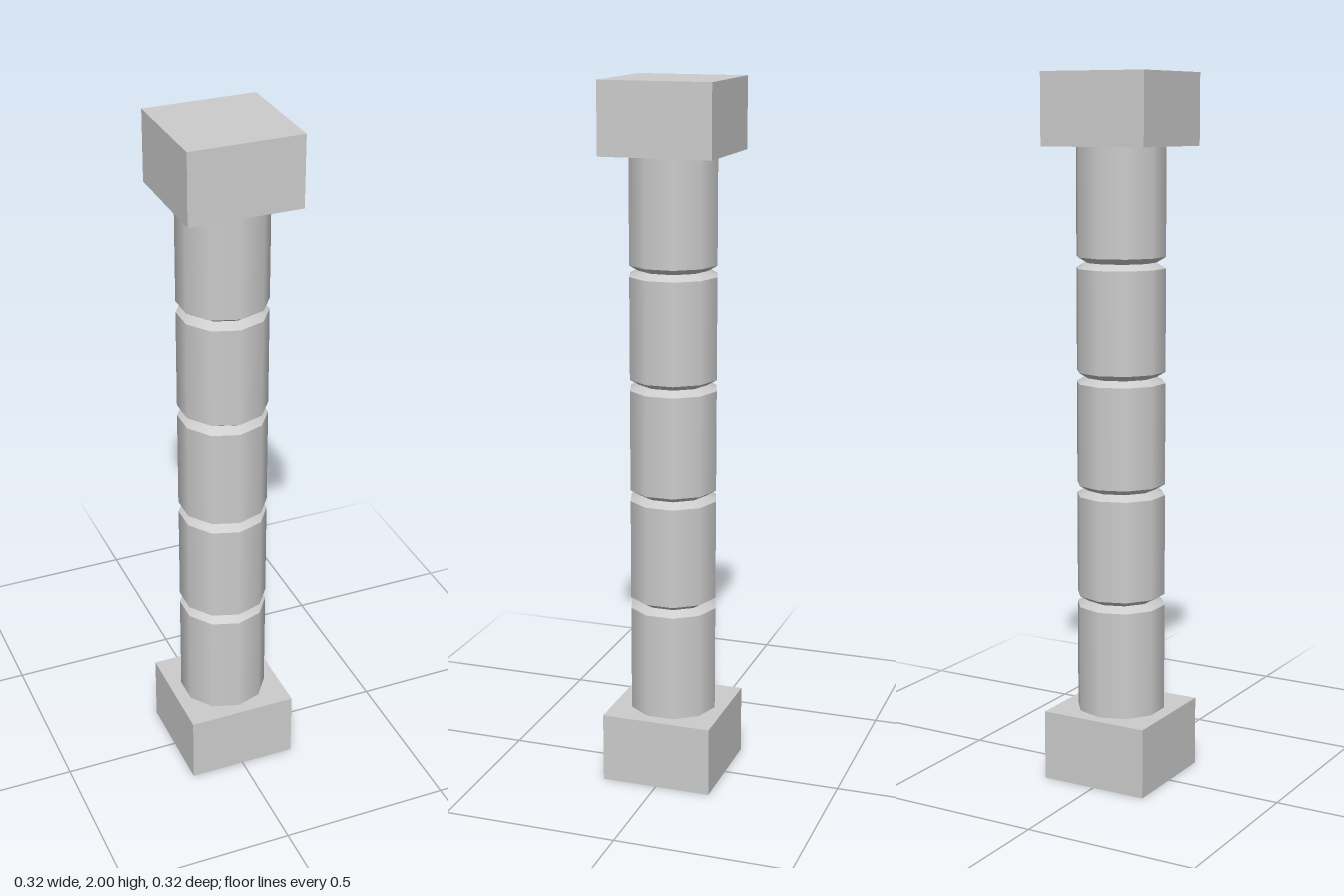
import * as THREE from 'three';

export function createModel() {
  const model = new THREE.Group();
  const stone = new THREE.MeshStandardMaterial({ color: 0xcccccc });
  stone.name = 'grey stone';

  const SIDES = 10, R = 0.127, GROOVE_R = 0.1, HALF = 0.016;
  const grooves = [0.523, 0.843, 1.163, 1.483];

  const add = (name, geometry, y) => {
    const mesh = new THREE.Mesh(geometry, stone);
    mesh.name = name;
    mesh.position.y = y;
    model.add(mesh);
  };

  // open ten-sided ring between two heights
  const ring = (name, y0, r0, y1, r1) =>
    add(name, new THREE.CylinderGeometry(r1, r0, y1 - y0, SIDES, 1, true), (y0 + y1) / 2);

  // square base and capital
  add('base', new THREE.BoxGeometry(0.32, 0.2, 0.32), 0.1);
  add('capital', new THREE.BoxGeometry(0.32, 0.2, 0.32), 1.9);

  // shaft drums separated by V-shaped grooves
  let bottom = 0.2;
  for (const y of grooves) {
    ring('shaftDrum', bottom, R, y - HALF, R);
    ring('grooveLowerBevel', y - HALF, R, y, GROOVE_R);
    ring('grooveUpperBevel', y, GROOVE_R, y + HALF, R);
    bottom = y + HALF;
  }
  ring('shaftDrum', bottom, R, 1.8, R);

  return model;
}
